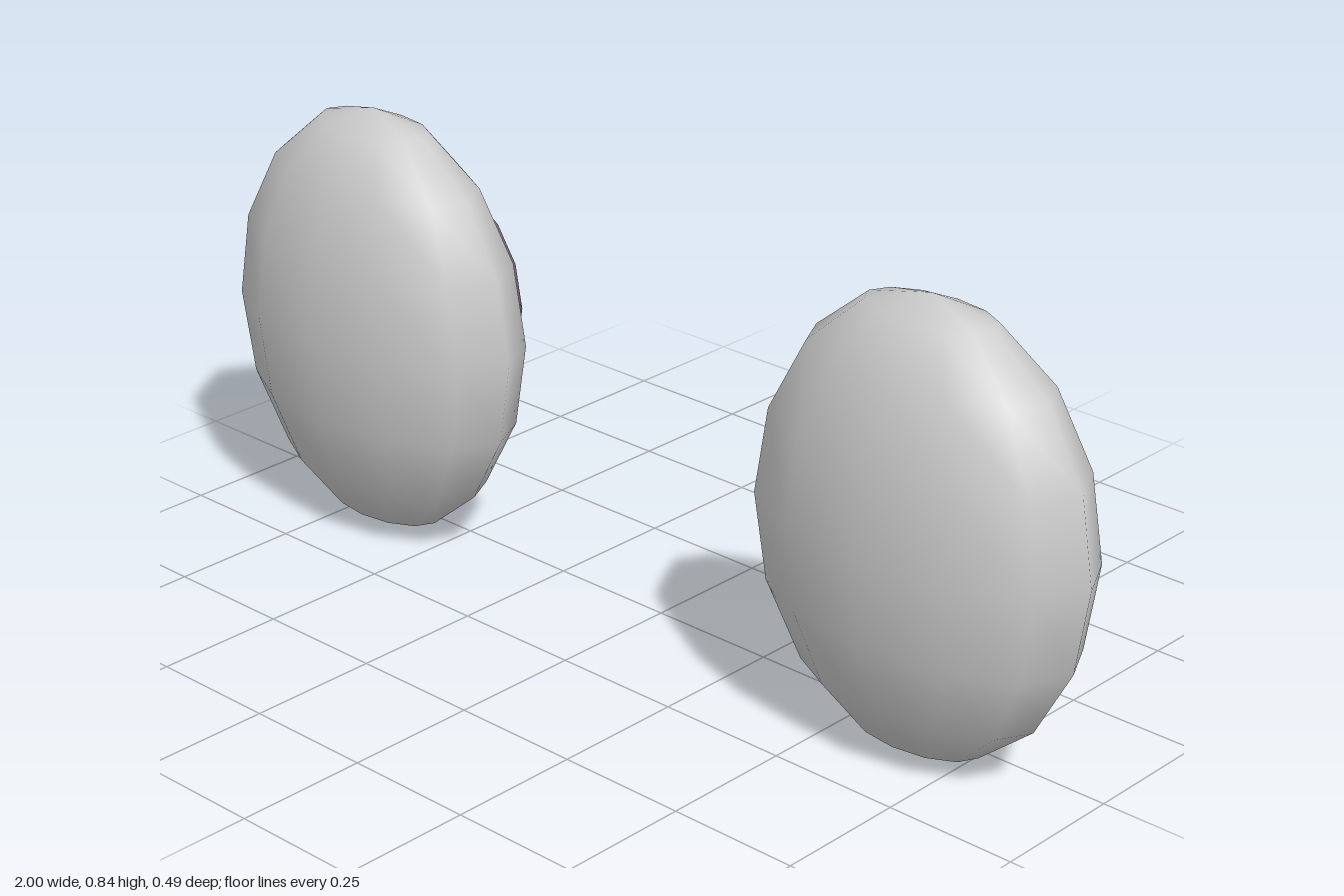
import * as THREE from 'three';

const white = new THREE.MeshStandardMaterial({ color: 0xcccccc });
white.name = 'pale grey';
const mauve = new THREE.MeshStandardMaterial({ color: 0x7d6b7b });
mauve.name = 'dusky mauve';

// Smooth, coarse ellipsoid with its poles along y
function ellipsoid(name, material, rx, ry, rz, z) {
  const geometry = new THREE.SphereGeometry(1, 12, 8).scale(rx, ry, rz);
  const mesh = new THREE.Mesh(geometry, material);
  mesh.name = name;
  mesh.position.z = z;
  return mesh;
}

// One eye: ball, iris and pupil stacked toward the back
function createEye(name, x) {
  const eye = new THREE.Group();
  eye.name = name;
  eye.position.set(x, 0.419, 0);
  eye.add(
    ellipsoid('eyeball', white, 0.342, 0.418, 0.179, 0.068),
    ellipsoid('iris', mauve, 0.187, 0.231, 0.097, -0.097),
    ellipsoid('pupil', mauve, 0.083, 0.12, 0.058, -0.187),
  );
  return eye;
}

export function createModel() {
  const model = new THREE.Group();
  model.name = 'eyes';
  model.add(createEye('leftEye', 0.658), createEye('rightEye', -0.658));
  return model;
}
